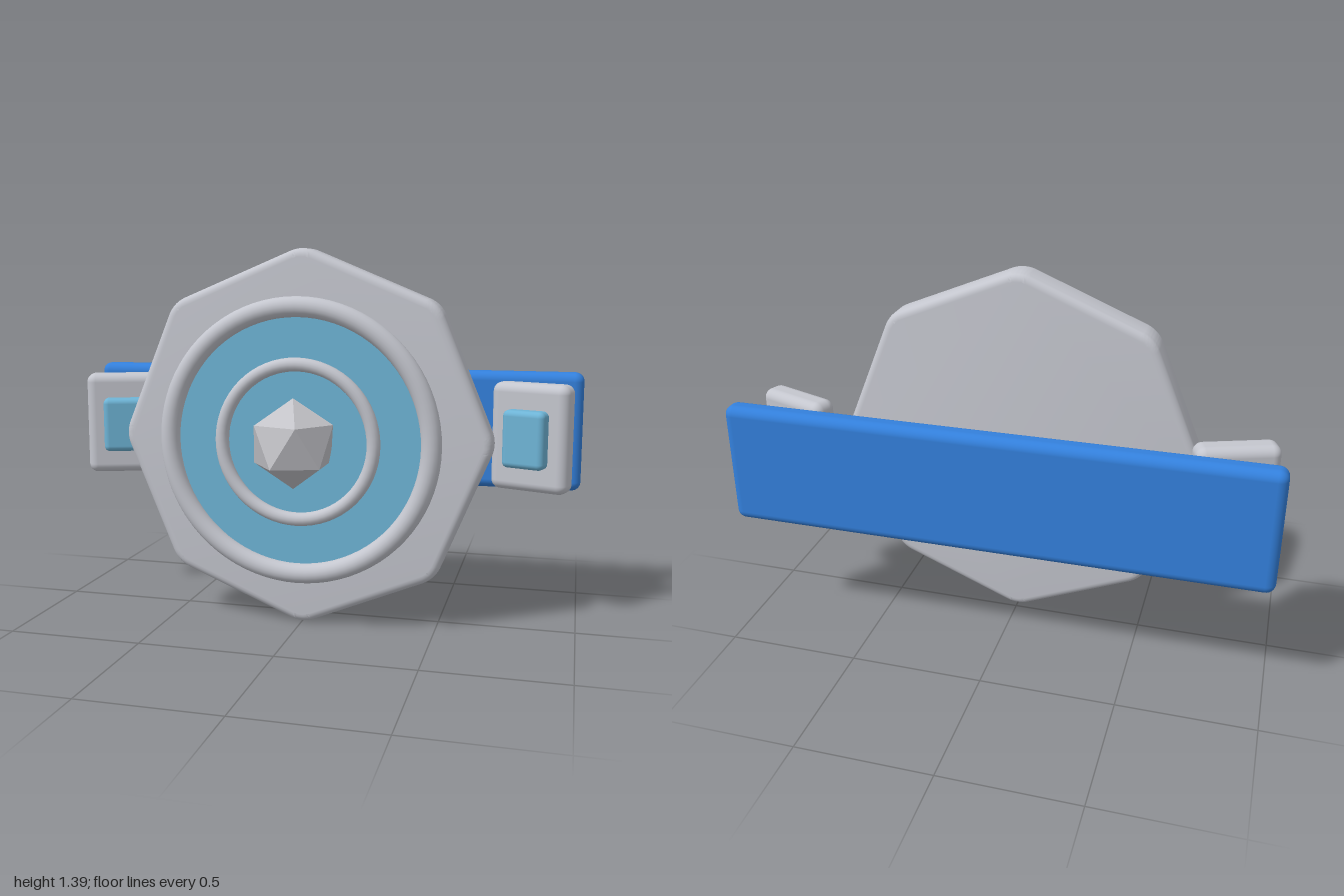
import * as THREE from 'three';
import { toCreasedNormals } from 'three/addons/utils/BufferGeometryUtils.js';
import { RoundedBoxGeometry } from 'three/addons/geometries/RoundedBoxGeometry.js';

const CY = 0.695; // height of the common centre

function material(name, color) {
  const m = new THREE.MeshStandardMaterial({ color });
  m.name = name;
  return m;
}

// Regular octagon, a corner pointing up, with corners rounded by radius r
function roundedOctagon(apothem, r) {
  const shape = new THREE.Shape();
  const d = (apothem - r) / Math.cos(Math.PI / 8);
  for (let i = 0; i < 8; i++) {
    const a = (i * Math.PI) / 4;
    shape.absarc(d * Math.cos(a), d * Math.sin(a), r, a - Math.PI / 8, a + Math.PI / 8, false);
  }
  return shape;
}

export function createModel() {
  const model = new THREE.Group();
  model.name = 'emblemBelt';
  const silver = material('silver', 0xc4c6ce);
  const gemGrey = material('gem grey', 0xc4c4c9);
  const paleBlue = material('pale blue', 0x6eb4d6);
  const blue = material('strong blue', 0x3380dc);

  const add = (name, geometry, mat, x, y, z, parent = model) => {
    const mesh = new THREE.Mesh(geometry, mat);
    mesh.name = name;
    mesh.position.set(x, y, z);
    parent.add(mesh);
    return mesh;
  };

  // Octagonal base plate with softened edges
  const bevel = 0.03;
  const plate = new THREE.ExtrudeGeometry(roundedOctagon(0.651 - bevel, 0.09), {
    depth: 0.127 - 2 * bevel,
    bevelEnabled: true,
    bevelThickness: bevel,
    bevelSize: bevel,
    bevelSegments: 5,
    curveSegments: 8,
  });
  add('basePlate', toCreasedNormals(plate, 0.6), silver, 0, CY, 0.008 + bevel);

  // Round face and its two rings
  const disc = new THREE.CylinderGeometry(0.485, 0.485, 0.088, 64);
  disc.rotateX(Math.PI / 2);
  add('faceDisc', disc, paleBlue, 0, CY, 0.144);
  add('outerRing', new THREE.TorusGeometry(0.488, 0.037, 20, 80), silver, 0, CY, 0.188);
  add('innerRing', new THREE.TorusGeometry(0.283, 0.025, 16, 64), silver, 0, CY, 0.195);

  // Faceted gem standing on one point
  const gem = new THREE.IcosahedronGeometry(0.164, 0);
  gem.rotateX(-Math.atan((1 + Math.sqrt(5)) / 2));
  gem.rotateY(Math.PI / 10);
  add('centreGem', gem, gemGrey, 0, 0.698, 0.243);

  // Side pads, turned towards the centre
  for (const [side, s] of [['left', 1], ['right', -1]]) {
    const pad = new THREE.Group();
    pad.name = side + 'Pad';
    pad.position.set(s * 0.819, 0.698, -0.135);
    pad.rotation.y = -s * 0.35;
    model.add(pad);
    add(side + 'PadBody', new RoundedBoxGeometry(0.3, 0.405, 0.1, 5, 0.035), silver, 0, 0, 0, pad);
    add(side + 'PadButton', new RoundedBoxGeometry(0.163, 0.215, 0.08, 4, 0.022), paleBlue, 0, -0.001, 0.062, pad);
  }

  // Long strap behind
  add('strap', new RoundedBoxGeometry(2, 0.46, 0.09, 5, 0.035), blue, 0, CY, -0.336);

  return model;
}
